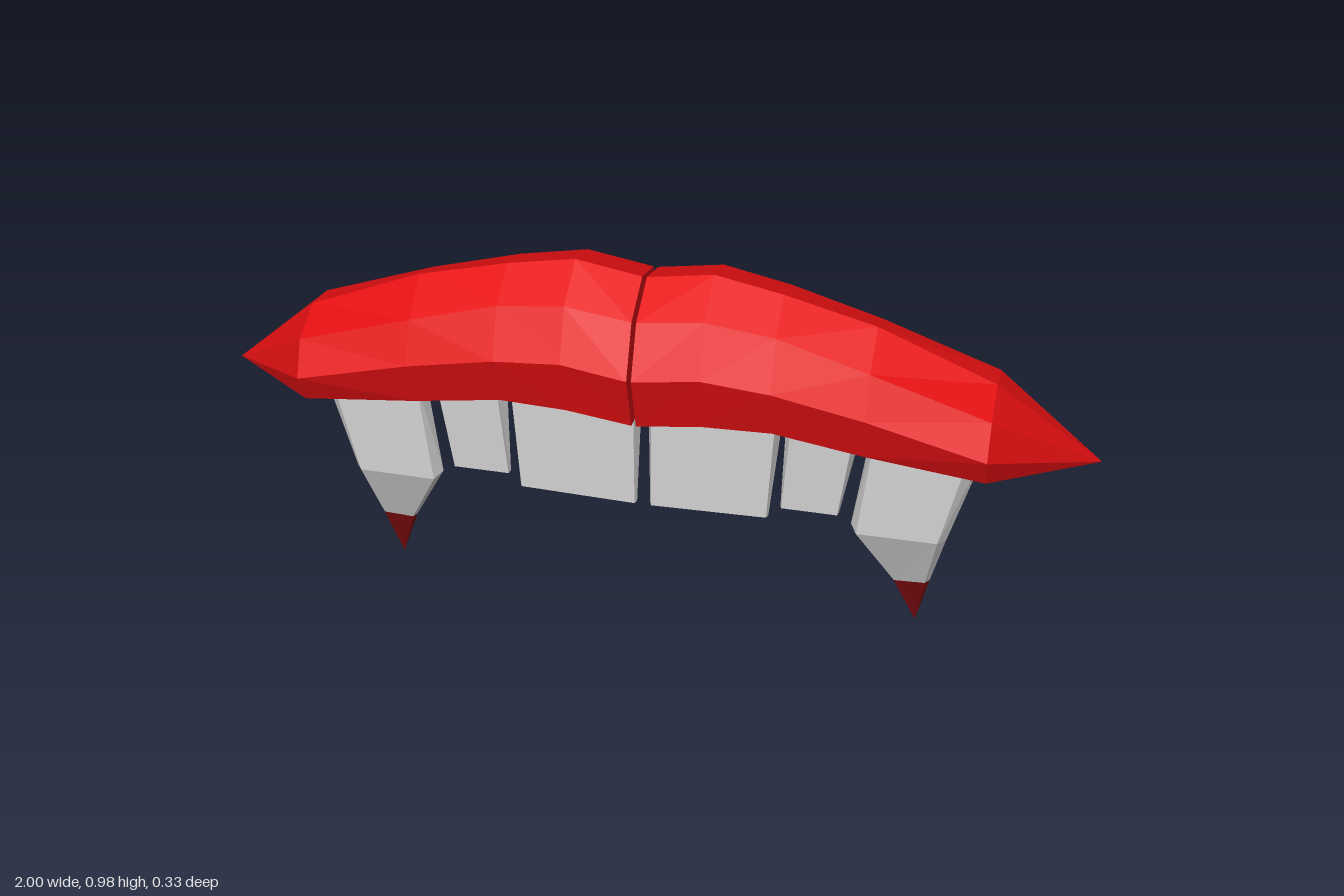
import * as THREE from 'three';

const mat = (name, color) => {
  const m = new THREE.MeshStandardMaterial({ color, flatShading: true });
  m.name = name;
  return m;
};

// Closed skin through rings of [x, y, z]; side -1 mirrors it across x = 0.
function loft(rings, side) {
  const R = rings.map(r => r.map(([x, y, z]) => new THREE.Vector3(x * side, y, z)));
  const n = R[0].length;
  const tris = [];
  for (let k = 0; k < R.length - 1; k++) {
    for (let i = 0; i < n; i++) {
      const j = (i + 1) % n;
      tris.push([R[k][i], R[k][j], R[k + 1][i]], [R[k][j], R[k + 1][j], R[k + 1][i]]);
    }
  }
  const last = R[R.length - 1];
  for (let i = 1; i < n - 1; i++) {
    tris.push([R[0][0], R[0][i + 1], R[0][i]], [last[0], last[i], last[i + 1]]);
  }
  // Drop collapsed faces, then wind everything outward by the sign of the volume.
  const solid = tris.filter(([a, b, c]) => new THREE.Triangle(a, b, c).getArea() > 1e-7);
  const c0 = R[0][0];
  let volume = 0;
  for (const [a, b, c] of solid) {
    volume += a.clone().sub(c0).dot(b.clone().sub(c0).cross(c.clone().sub(c0)));
  }
  const points = solid.flatMap(([a, b, c]) => (volume > 0 ? [a, b, c] : [a, c, b]));
  const geo = new THREE.BufferGeometry().setFromPoints(points);
  geo.computeVertexNormals();
  return geo;
}

// Lip stations: x, then [z, y] round the section from the top over the front.
const lipStations = [
  [0.005, [[0, 0.95], [0.11, 0.905], [0.165, 0.79], [0.115, 0.64], [0, 0.62], [-0.1, 0.65], [-0.15, 0.79], [-0.12, 0.9]]],
  [0.15, [[0, 0.975], [0.11, 0.925], [0.16, 0.81], [0.115, 0.66], [0, 0.645], [-0.1, 0.67], [-0.147, 0.81], [-0.12, 0.925]]],
  [0.3, [[0, 0.945], [0.1, 0.9], [0.15, 0.79], [0.105, 0.658], [0, 0.645], [-0.1, 0.66], [-0.143, 0.78], [-0.11, 0.9]]],
  [0.5, [[-0.01, 0.885], [0.09, 0.83], [0.13, 0.735], [0.09, 0.615], [0, 0.59], [-0.1, 0.61], [-0.147, 0.73], [-0.11, 0.84]]],
  [0.76, [[-0.03, 0.76], [0.07, 0.73], [0.108, 0.65], [0.07, 0.57], [0.01, 0.535], [-0.1, 0.54], [-0.16, 0.64], [-0.13, 0.73]]],
  [1, Array(8).fill([-0.168, 0.49])],
];
const lipRings = lipStations.map(([x, pts]) => pts.map(([z, y]) => [x, y, z]));

// Six-sided tooth section: bevelled front, slightly wider at the middle.
const toothRing = (x0, x1, y0, y1, zf, zb, bevel) => {
  const zm = (zf + zb) / 2;
  return [
    [x0 + bevel, y0, zf], [x1 - bevel, y1, zf], [x1, y1, zm],
    [x1 - bevel, y1, zb], [x0 + bevel, y0, zb], [x0, y0, zm],
  ];
};

const centralRings = [
  toothRing(0.005, 0.315, 0.72, 0.72, 0.03, -0.055, 0.015),
  toothRing(0.015, 0.285, 0.353, 0.36, 0.02, 0.0, 0.004),
];
const lateralRings = [
  toothRing(0.315, 0.49, 0.67, 0.67, 0.028, -0.055, 0.017),
  toothRing(0.31, 0.442, 0.386, 0.386, 0.012, -0.01, 0.003),
];

// Fang: straight root, then bent back to a point.
const fangTop = [[0.515, 0.64, 0.03], [0.72, 0.6, 0.01], [0.755, 0.6, -0.03], [0.72, 0.6, -0.06], [0.52, 0.64, -0.055], [0.505, 0.64, -0.01]];
const fangBend = [[0.485, 0.355, 0.03], [0.665, 0.34, 0.01], [0.682, 0.33, -0.02], [0.66, 0.33, -0.05], [0.49, 0.355, -0.04], [0.47, 0.36, 0]];
const fangLow = [[0.57, 0.165, -0.058], [0.64, 0.165, -0.062], [0.65, 0.165, -0.075], [0.64, 0.165, -0.09], [0.575, 0.165, -0.088], [0.563, 0.165, -0.07]];
const fangPoint = Array(6).fill([0.62, 0, -0.126]);

export function createModel() {
  const red = mat('lip red', 0xe81012);
  const ivory = mat('tooth grey', 0xd4d4d4);
  const blood = mat('dark red', 0x820c10);

  const parts = [
    ['Lip', lipRings, red],
    ['CentralIncisor', centralRings, ivory],
    ['LateralIncisor', lateralRings, ivory],
    ['Fang', [fangTop, fangBend, fangLow], ivory],
    ['FangTip', [fangLow, fangPoint], blood],
  ];

  const model = new THREE.Group();
  model.name = 'fangedUpperLip';
  for (const [prefix, side] of [['left', 1], ['right', -1]]) {
    const half = new THREE.Group();
    half.name = prefix + 'Half';
    for (const [name, rings, material] of parts) {
      const mesh = new THREE.Mesh(loft(rings, side), material);
      mesh.name = prefix + name;
      half.add(mesh);
    }
    model.add(half);
  }
  return model;
}
